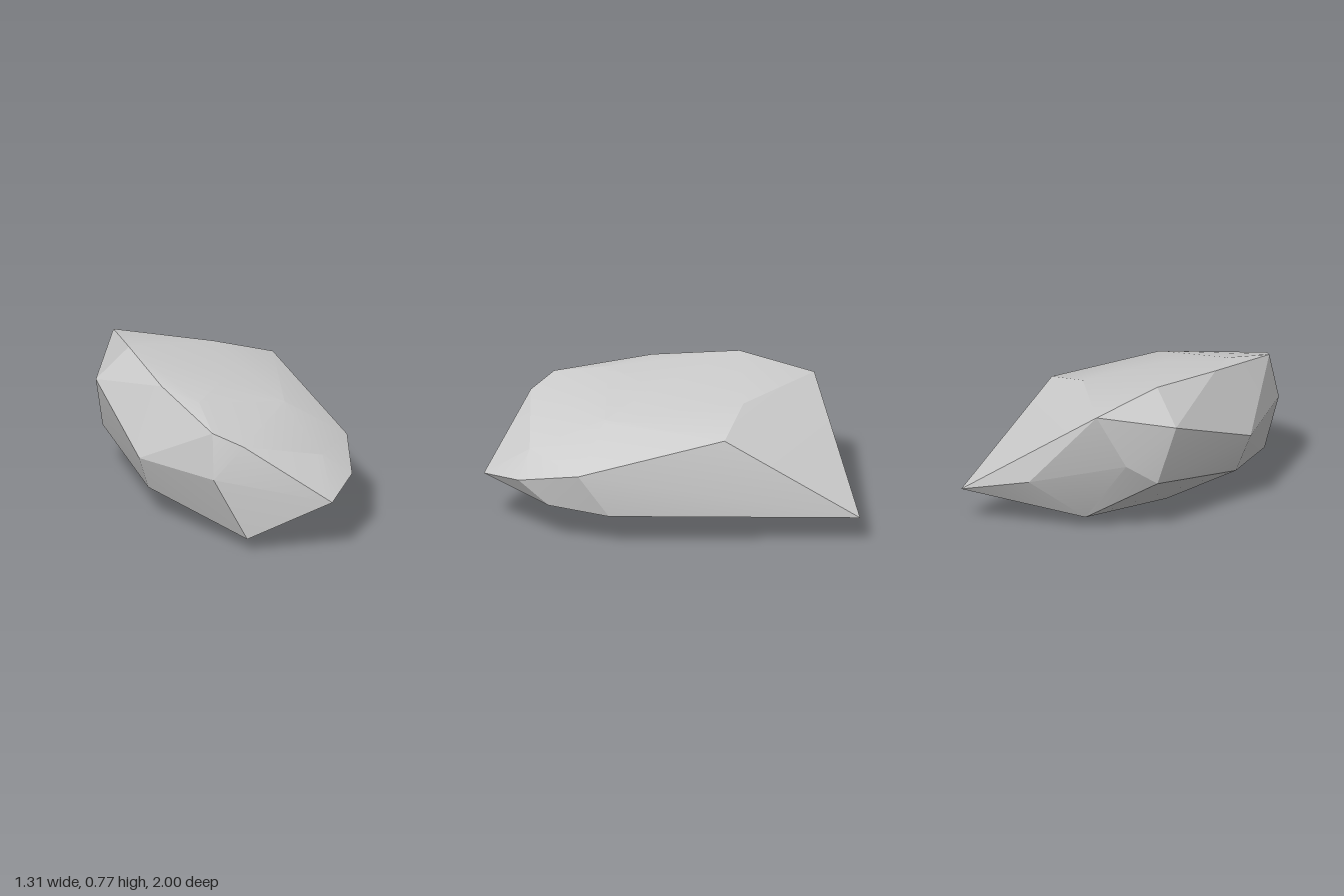
import * as THREE from 'three';
import { ConvexGeometry } from 'three/addons/geometries/ConvexGeometry.js';
import { toCreasedNormals } from 'three/addons/utils/BufferGeometryUtils.js';

// Corners of the faceted boulder, grouped by region (x, y, z)
const crown = [
  [-0.475, 0.775, -0.12], [-0.52, 0.69, -0.53], [0, 0.705, -0.3], [0, 0.718, 0.22],
  [-0.34, 0.745, 0.33], [-0.155, 0.73, 0.52], [-0.11, 0.68, 0.81], [0.05, 0.63, 0.89],
  [0.32, 0.65, 0.38], [0.32, 0.63, -0.3], [0.49, 0.5, 0.75],
];
const girdle = [
  [0.11, 0.18, -1], [-0.23, 0.28, -0.78], [-0.58, 0.4, -0.38], [-0.655, 0.595, -0.11],
  [-0.61, 0.28, -0.2], [-0.475, 0.39, 0.47], [-0.11, 0.43, 0.87], [0.52, 0.33, 1],
  [0.65, 0.385, 0.76], [0.655, 0.46, 0.42],
];
const underside = [
  [-0.42, 0.185, 0.41], [0.07, 0.08, 0.89], [0.62, 0.245, 0.6], [0.58, 0.21, 0.27],
  [0.04, 0.03, 0.3], [-0.165, 0, 0.13], [-0.34, 0.06, -0.49],
];

export function createModel() {
  const group = new THREE.Group();
  group.name = 'boulder';

  const corners = [...crown, ...girdle, ...underside].map((p) => new THREE.Vector3(...p));
  // Shallow angles blend softly, steep ones stay crisp
  const geometry = toCreasedNormals(new ConvexGeometry(corners), 0.3);
  const rock = new THREE.Mesh(geometry, new THREE.MeshStandardMaterial({ color: 0xcccccc }));
  rock.name = 'rock';
  group.add(rock);
  return group;
}
